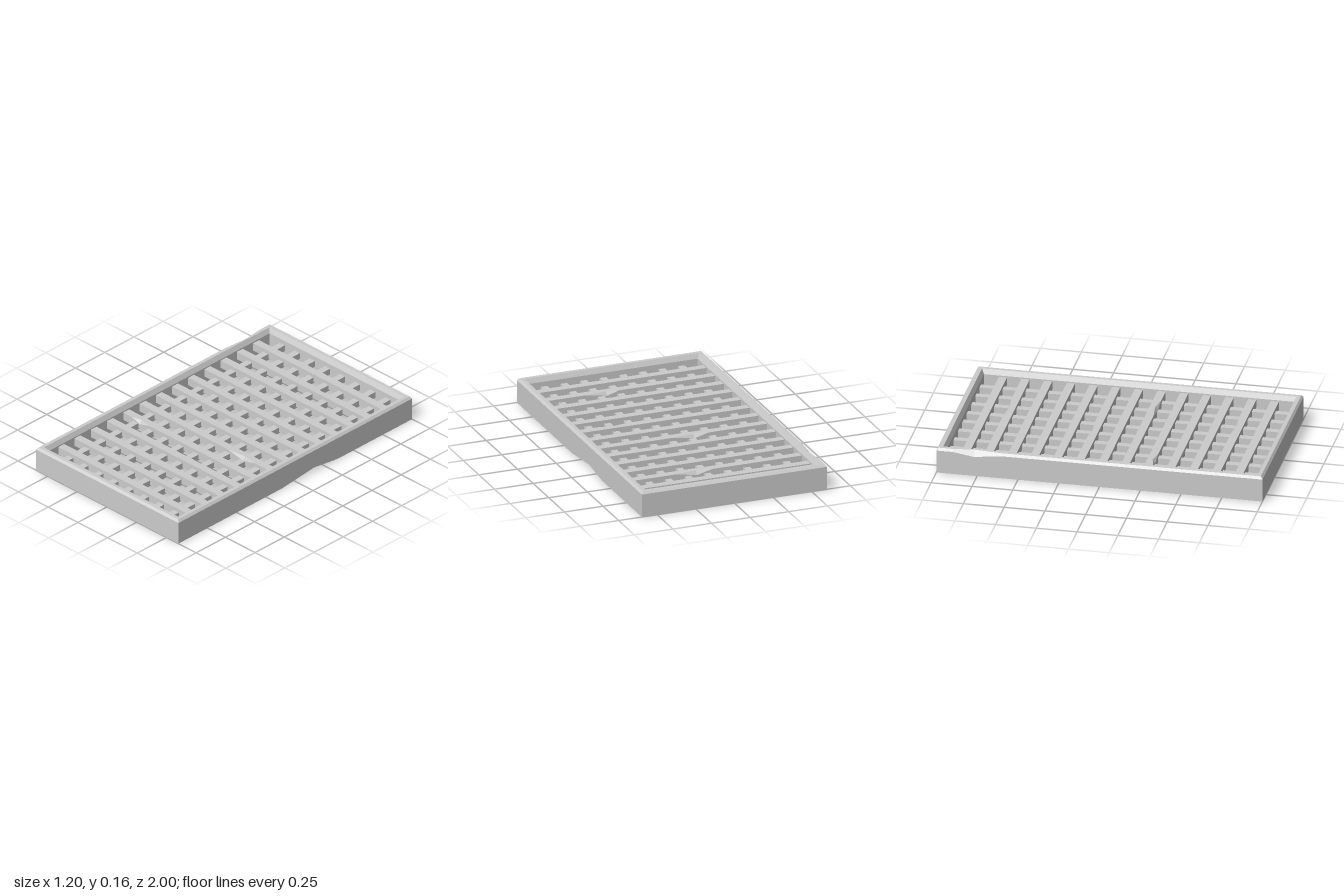
import * as THREE from 'three';

const grey = new THREE.MeshStandardMaterial({ color: 0xcccccc });
grey.name = 'worn grey metal';

// Joins equal cross-sections (closed loops of points) into a flat-shaded skin
function loft(sections, ring) {
  const n = sections[0].length, count = sections.length, pos = [];
  for (let i = 0; i < (ring ? count : count - 1); i++) {
    const s = sections[i], t = sections[(i + 1) % count];
    for (let j = 0; j < n; j++) {
      const k = (j + 1) % n;
      pos.push(...s[j], ...s[k], ...t[k], ...s[j], ...t[k], ...t[j]);
    }
  }
  const g = new THREE.BufferGeometry();
  g.setAttribute('position', new THREE.Float32BufferAttribute(pos, 3));
  g.computeVertexNormals();
  return g;
}

function add(parent, name, geometry) {
  const mesh = new THREE.Mesh(geometry, grey);
  mesh.name = name;
  parent.add(mesh);
  return mesh;
}

// Rim profile as [inset from the outside, height]
const rim = [[0.035, 0.16], [0.012, 0.16], [0, 0.145], [0, 0], [0.05, 0], [0.05, 0.13]];

// One rim section; chip replaces single profile points
function rimSection(x, z, dx, dz, chip = {}) {
  return rim.map((p, j) => {
    const [inset, y] = chip[j] || p;
    return [x - dx * inset, y, z - dz * inset];
  });
}

// Bar along x, open ends buried in the frame; chip = [start, peak, end, side]
function bar(half, width, y0, y1, chip) {
  const section = (x, side = 0) => {
    const w = width / 2;
    const back = side < 0 ? 0.016 : 0, front = side > 0 ? 0.016 : 0;
    return [
      [x, y1, -w + back], [x, y1, w - front],
      [x, y1 - front * 1.5, w], [x, y0, w],
      [x, y0, -w], [x, y1 - back * 1.5, -w],
    ];
  };
  const sections = [section(-half)];
  if (chip) sections.push(section(chip[0]), section(chip[1], chip[3]), section(chip[2]));
  sections.push(section(half));
  return loft(sections, false);
}

export function createModel() {
  const model = new THREE.Group();
  model.name = 'floorGrate';

  // Bevelled frame, with a few worn chips
  const frame = [
    rimSection(0.6, 1, 1, 1),
    rimSection(0.6, 0.11, 1, 0),
    rimSection(0.6, -0.16, 1, 0, { 3: [0, 0.027] }),
    rimSection(0.6, -0.36, 1, 0),
    rimSection(0.6, -1, 1, -1),
    rimSection(-0.6, -1, -1, -1),
    rimSection(-0.6, -0.9, -1, 0),
    rimSection(-0.6, -0.77, -1, 0, { 1: [0.028, 0.16], 2: [0, 0.125] }),
    rimSection(-0.6, -0.6, -1, 0),
    rimSection(-0.6, 1, -1, 1),
    rimSection(-0.17, 1, 0, 1),
    rimSection(0, 1, 0, 1, { 4: [0.05, 0.03] }),
    rimSection(0.17, 1, 0, 1),
  ];
  add(model, 'frame', loft(frame, true));

  // Upper slats across the width
  const chips = {
    1: [0.03, 0.13, 0.27, -1],
    5: [-0.17, -0.08, 0.07, -1],
    7: [0.2, 0.32, 0.42, 1],
    8: [-0.48, -0.41, -0.33, 1],
    11: [0.07, 0.15, 0.29, -1],
  };
  const slats = new THREE.Group();
  slats.name = 'crossSlats';
  for (let i = 0; i < 13; i++) {
    add(slats, 'crossSlat', bar(0.56, 0.05, 0.07, 0.122, chips[i])).position.z = (i - 6) * 0.139;
  }
  model.add(slats);

  // Lower bars along the length
  const bars = new THREE.Group();
  bars.name = 'lengthBars';
  for (let i = 0; i < 8; i++) {
    const mesh = add(bars, 'lengthBar', bar(0.96, 0.043, 0.06, 0.1));
    mesh.rotation.y = Math.PI / 2;
    mesh.position.x = (i - 3.5) * 0.127;
  }
  model.add(bars);

  return model;
}
